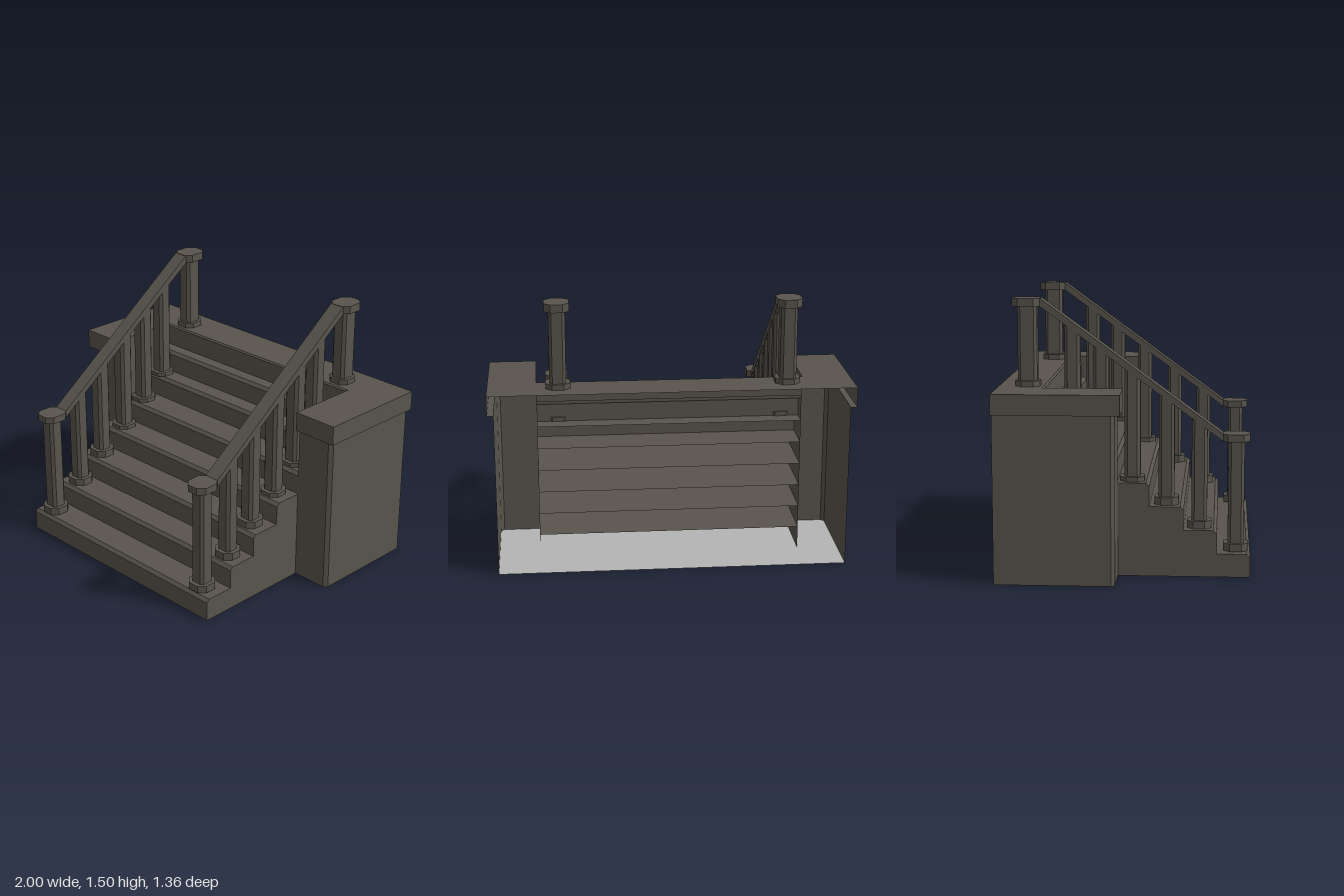
import * as THREE from 'three';

const stone = new THREE.MeshStandardMaterial({ color: 0x59554d, side: THREE.DoubleSide });
stone.name = 'darkStone';
const ground = new THREE.MeshStandardMaterial({ color: 0xb4b4b4, side: THREE.DoubleSide });
ground.name = 'paleGrey';

const W = 0.735;      // half width of the stairs
const BACK = -0.68;   // open back edge
const NOTCH = -0.44;  // where the treads end under the landing
const FRONT = -0.035; // front of the wing walls
const RISE = 1.025 / 8;

function add(parent, name, geometry, material = stone) {
  const mesh = new THREE.Mesh(geometry, material);
  mesh.name = name;
  parent.add(mesh);
  return mesh;
}

// flat-shaded strip ruled between two rows of [x, y, z] points
function strip(a, b) {
  const p = [];
  for (let i = 0; i < a.length - 1; i++) {
    p.push(...a[i], ...a[i + 1], ...b[i + 1], ...a[i], ...b[i + 1], ...b[i]);
  }
  const g = new THREE.BufferGeometry();
  g.setAttribute('position', new THREE.Float32BufferAttribute(p, 3));
  g.computeVertexNormals();
  return g;
}

// upright band over a plan path of [x, z] points
const at = (path, y) => path.map(([x, z]) => [x, y, z]);
const band = (path, y0, y1) => strip(at(path, y0), at(path, y1));
const mirror = (path) => path.map(([x, z]) => [-x, z]).reverse();

// horizontal sheet from a plan outline
function sheet(outline, y) {
  const shape = new THREE.Shape(outline.map(([x, z]) => new THREE.Vector2(x, -z)));
  return new THREE.ShapeGeometry(shape).rotateX(-Math.PI / 2).translate(0, y, 0);
}

// upright block with chamfered corners
function block(wx, wz, chamfer, y0, y1) {
  const x = wx / 2, z = wz / 2, c = chamfer;
  const pts = [[x - c, -z], [x, c - z], [x, z - c], [x - c, z], [c - x, z], [-x, z - c], [-x, c - z], [c - x, -z]];
  const shape = new THREE.Shape(pts.map(([u, v]) => new THREE.Vector2(u, v)));
  return new THREE.ExtrudeGeometry(shape, { depth: y1 - y0, bevelEnabled: false })
    .rotateX(-Math.PI / 2).translate(0, y0, 0);
}

function createSteps() {
  const steps = new THREE.Group();
  steps.name = 'steps';
  const risers = [0.68, 0.5, 0.32, 0.135, -0.04, -0.225, -0.34, -0.43];
  risers.forEach((z, i) => {
    const y0 = i * RISE, y1 = y0 + RISE, c = i === 7 ? 0.009 : 0.018;
    // riser, chamfered nose and tread running back beneath the next step
    const profile = [[y0, z], [y1 - c, z], [y1, z - c], [y1, NOTCH]];
    const row = (x) => profile.map(([y, zz]) => [x, y, zz]);
    add(steps, 'step', strip(row(W), row(-W)));
    // closed ends where the step stands clear of the wings
    if (z > FRONT) {
      for (const s of [-1, 1]) {
        const low = [[s * W, y0, FRONT], [s * W, y0, z - c], [s * W, y0, z]];
        const high = [[s * W, y1, FRONT], [s * W, y1, z - c], [s * W, y1 - c, z]];
        const end = s < 0 ? strip(low, high) : strip(low.reverse(), high.reverse());
        add(steps, 'stepEnd', end);
      }
    }
  });
  return steps;
}

function createLanding() {
  const landing = new THREE.Group();
  landing.name = 'landing';
  // wing walls: outer side, chamfered corner, front, inner side
  const wall = [[-0.965, BACK], [-0.965, FRONT - 0.02], [-0.945, FRONT], [-W, FRONT], [-W, NOTCH]];
  add(landing, 'leftWingWall', band(mirror(wall), 0, 0.915));
  add(landing, 'rightWingWall', band(wall, 0, 0.915));
  // U-shaped top with an overhanging lip
  const lip = [[-1, BACK], [-1, -0.005], [-W, -0.005], [-W, NOTCH]];
  const outline = [...lip, ...mirror(lip)];
  add(landing, 'landingLip', band(outline, 0.915, 1.025));
  add(landing, 'landingTop', sheet(outline, 1.025));
  // underside of the overhang
  const inner = wall.slice(0, 4), outer = [lip[0], lip[1], lip[1], lip[2]];
  add(landing, 'rightLipUnderside', strip(at(inner, 0.915), at(outer, 0.915)));
  add(landing, 'leftLipUnderside', strip(at(mirror(inner), 0.915), at(mirror(outer), 0.915)));
  return landing;
}

function createRailing(x, name) {
  const railing = new THREE.Group();
  railing.name = name;
  railing.position.x = x;
  const zA = 0.53, zB = -0.455, yA = 0.735, yB = 1.455;
  const railY = (z) => yA + (yB - yA) * (zA - z) / (zA - zB);

  // sloping handrail
  const rail = new THREE.Shape([
    new THREE.Vector2(-zA, yA), new THREE.Vector2(-zB, yB),
    new THREE.Vector2(-zB, yB + 0.045), new THREE.Vector2(-zA, yA + 0.04),
  ]);
  add(railing, 'handrail', new THREE.ExtrudeGeometry(rail, { depth: 0.088, bevelEnabled: false })
    .translate(0, 0, -0.044).rotateY(Math.PI / 2));

  // end posts with foot and cap: [z, foot bottom, foot top, cap bottom, cap top, post depth]
  for (const [z, f0, f1, c0, c1, d] of [
    [0.602, 0.133, 0.175, 0.735, 0.775, 0.088],
    [-0.525, 1.025, 1.055, 1.455, 1.5, 0.105],
  ]) {
    add(railing, 'postFoot', block(0.135, 0.135, 0.035, f0, f1)).position.z = z;
    add(railing, 'post', block(0.09, d, 0.016, f1, c0)).position.z = z;
    add(railing, 'postCap', block(0.135, 0.155, 0.035, c0, c1)).position.z = z - 0.004;
  }

  // one baluster on each of the middle steps
  [0.403, 0.225, 0.04, -0.128, -0.283].forEach((z, i) => {
    const y = (i + 2) * RISE;
    add(railing, 'balusterFoot', block(0.135, 0.132, 0.035, y, y + (i < 2 ? 0.042 : 0.024))).position.z = z;
    // the top follows the slope of the handrail
    const g = block(0.088, 0.085, 0.016, y, y + 0.1);
    const p = g.attributes.position;
    for (let k = 0; k < p.count; k++) {
      if (p.getY(k) > y + 0.05) p.setY(k, railY(z + p.getZ(k)) + 0.005);
    }
    g.computeVertexNormals();
    add(railing, 'baluster', g).position.z = z;
  });
  return railing;
}

export function createModel() {
  const model = new THREE.Group();
  model.name = 'frontSteps';
  model.add(createSteps(), createLanding());
  model.add(createRailing(0.617, 'leftRailing'), createRailing(-0.635, 'rightRailing'));

  // base sheet under the whole footprint
  const half = [[-0.965, BACK], [-0.965, FRONT - 0.02], [-0.945, FRONT], [-W, FRONT], [-W, 0.68]];
  add(model, 'basePlate', sheet([...half, ...mirror(half)], 0), ground);
  return model;
}
